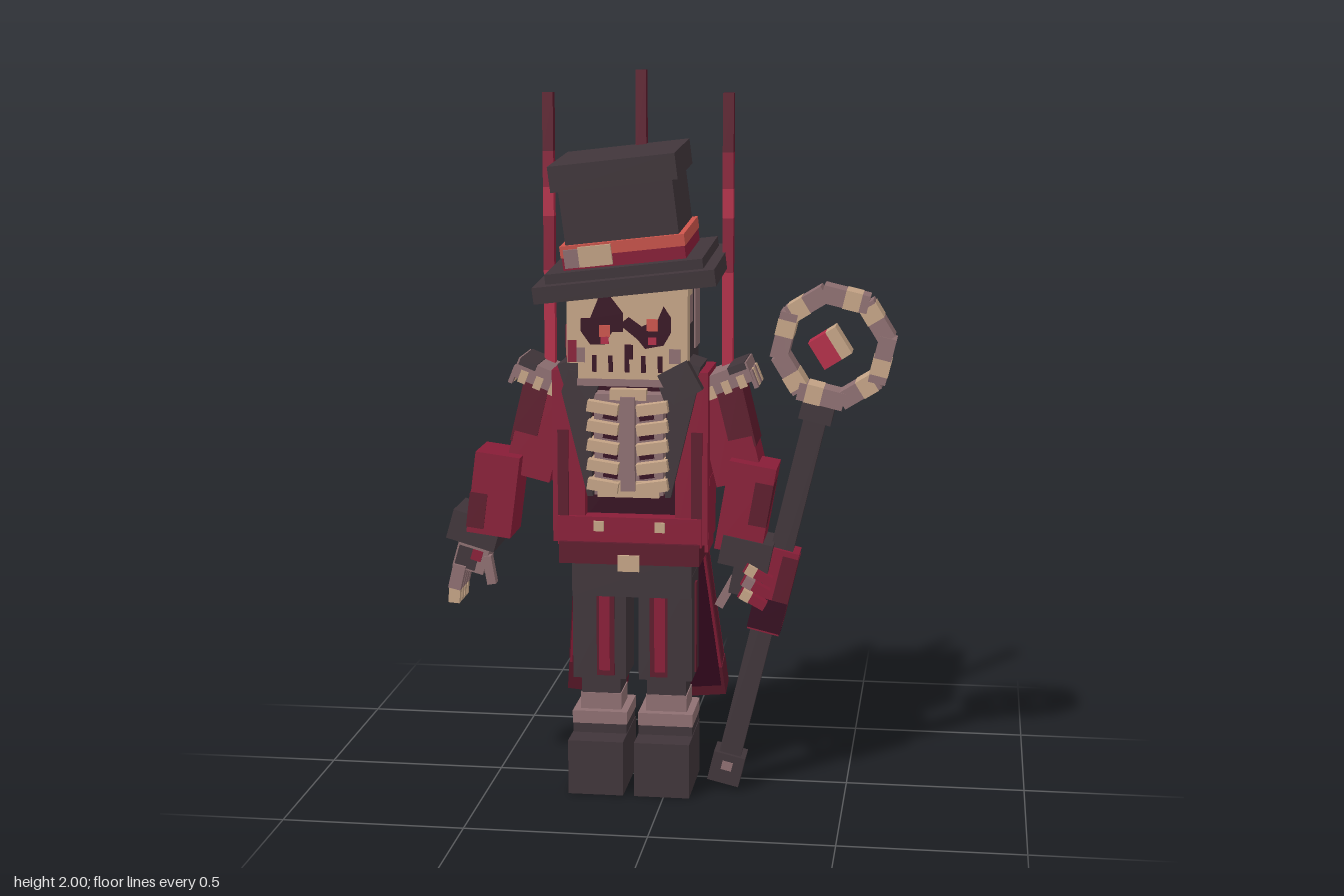
import * as THREE from 'three';

const mat = (name, color) => Object.assign(new THREE.MeshStandardMaterial({ color }), { name });
const M = {
  dark: mat('charcoal cloth', 0x40353a),
  crimson: mat('crimson cloth', 0x8a1d38),
  maroon: mat('maroon cloth', 0x5e1a2c),
  deep: mat('deep shadow red', 0x36091f),
  bone: mat('bone', 0xc6a587),
  mauve: mat('old bone', 0x8f7072),
  coral: mat('coral ribbon', 0xcc544b),
  bright: mat('bright red', 0xb42c48),
};
const CX = -0.098; // body centre line

function group(parent, name, x = 0, y = 0, z = 0, rx = 0, rz = 0) {
  const g = new THREE.Group();
  g.name = name;
  g.position.set(x, y, z);
  g.rotation.set(rx, 0, rz);
  parent.add(g);
  return g;
}
// size [w,h,d], centre [x,y,z]
function box(parent, name, m, size, pos, rz = 0) {
  const b = new THREE.Mesh(new THREE.BoxGeometry(...size), m);
  b.name = name;
  b.position.set(...pos);
  b.rotation.z = rz;
  parent.add(b);
}
// flat polygon with a small depth, facing +z
function plate(parent, name, m, pts, z, depth) {
  const s = new THREE.Shape(pts.map(p => new THREE.Vector2(...p)));
  const p = new THREE.Mesh(new THREE.ExtrudeGeometry(s, { depth, bevelEnabled: false }), m);
  p.name = name;
  p.position.z = z;
  parent.add(p);
}

function legs(root) {
  for (const s of [-1, 1]) {
    const g = group(root, s < 0 ? 'rightLeg' : 'leftLeg', CX + s * 0.093);
    box(g, 'boot', M.dark, [0.155, 0.155, 0.245], [0, 0.0775, 0.067]);
    box(g, 'bootAnkle', M.dark, [0.152, 0.03, 0.165], [0, 0.168, 0.028]);
    box(g, 'bootCuff', M.mauve, [0.155, 0.036, 0.168], [0, 0.2, 0.028]);
    box(g, 'shin', M.dark, [0.11, 0.14, 0.11], [0, 0.26, 0.03]);
    box(g, 'shinWrap', M.mauve, [0.116, 0.05, 0.116], [0, 0.24, 0.03]);
    box(g, 'trouserLeg', M.dark, [0.15, 0.3, 0.15], [0, 0.465, 0.035]);
    box(g, 'trouserStripe', M.maroon, [0.05, 0.26, 0.006], [-s * 0.018, 0.455, 0.112]);
    box(g, 'trouserStripeCentre', M.crimson, [0.03, 0.22, 0.008], [-s * 0.015, 0.45, 0.113]);
    box(g, 'sideStripe', M.maroon, [0.006, 0.26, 0.03], [s * 0.077, 0.455, 0.035]);
  }
  box(root, 'hips', M.dark, [0.335, 0.12, 0.17], [CX, 0.615, 0.035]);
}

function coat(root) {
  const g = group(root, 'coat', CX);
  box(g, 'coatBack', M.crimson, [0.41, 0.52, 0.13], [0, 0.93, -0.025]);
  box(g, 'chestHollow', M.deep, [0.3, 0.4, 0.07], [0, 0.95, 0.07]);
  box(g, 'coatHem', M.crimson, [0.4, 0.08, 0.25], [0, 0.75, 0.033]);
  box(g, 'belt', M.maroon, [0.39, 0.06, 0.262], [0, 0.69, 0.04]);
  box(g, 'buckle', M.bone, [0.06, 0.045, 0.012], [0, 0.665, 0.174]);
  for (const s of [-1, 1]) {
    box(g, 'frontPanel', M.crimson, [0.09, 0.48, 0.2], [s * 0.17, 0.955, 0.045]);
    box(g, 'panelFlap', M.crimson, [0.06, 0.17, 0.15], [s * 0.186, 0.81, 0.04]);
    box(g, 'panelTrim', M.maroon, [0.03, 0.26, 0.006], [s * 0.185, 0.9, 0.148]);
    box(g, 'hemButton', M.bone, [0.028, 0.028, 0.01], [s * 0.085, 0.765, 0.16]);
    // dark lapels narrowing to the waist
    const pts = [[0.07, 1.19], [0.165, 1.2], [0.185, 1.14], [0.115, 0.85], [0.1, 0.85], [0.105, 1.1]];
    plate(g, 'lapel', M.dark, pts.map(([x, y]) => [s * x, y]), 0.135, 0.03);
    box(g, 'collar', M.dark, [0.07, 0.09, 0.16], [s * 0.15, 1.18, 0.08], s * -0.3);
    // splayed coat tails, hinged at the waist
    const t = group(g, 'coatTail', s * 0.095, 0.73, -0.067, 0.26, s * 0.1);
    box(t, 'tail', M.crimson, [0.165, 0.56, 0.078], [0, -0.27, 0]);
    box(t, 'tailLining', s < 0 ? M.maroon : M.deep, [0.15, 0.5, 0.008], [0, -0.27, 0.04]);
    box(t, 'tailTip', M.maroon, [0.169, 0.09, 0.082], [0, -0.507, 0]);
    box(t, 'tailEdge', M.maroon, [0.07, 0.42, 0.006], [-0.04, -0.25, -0.04]);
    box(t, 'tailSide', M.maroon, [0.006, 0.4, 0.05], [s * 0.083, -0.25, 0.012]);
    box(t, 'tailButton', M.mauve, [0.025, 0.025, 0.006], [-s * 0.05, -0.44, -0.042]);
  }
  // worn blotches and stitched studs on the back
  for (const [x, y, w, h] of [[-0.15, 1.13, 0.1, 0.04], [0.12, 1.07, 0.06, 0.06], [-0.03, 0.96, 0.06, 0.04],
    [0.14, 0.87, 0.1, 0.05], [-0.17, 0.84, 0.06, 0.1], [0.02, 0.79, 0.16, 0.03]])
    box(g, 'backBlotch', M.maroon, [w, h, 0.006], [x, y, -0.091]);
  for (let i = 0; i < 5; i++)
    box(g, 'backStud', M.mauve, [0.026, 0.026, 0.01], [-0.16 + i * 0.08, 0.735, -0.095]);
}

function ribs(root) {
  const g = group(root, 'ribcage', CX);
  box(g, 'sternum', M.mauve, [0.19, 0.28, 0.06], [0, 0.995, 0.135]);
  box(g, 'breastbone', M.mauve, [0.04, 0.26, 0.03], [0, 1.0, 0.172]);
  box(g, 'breastboneTop', M.bone, [0.1, 0.03, 0.03], [0, 1.135, 0.16]);
  box(g, 'lowerRibs', M.bone, [0.17, 0.045, 0.05], [0, 0.873, 0.15]);
  for (let i = 0; i < 5; i++)
    for (const s of [-1, 1]) {
      box(g, 'rib', M.bone, [0.085, 0.03, 0.07], [s * 0.068, 1.1 - i * 0.054, 0.162], s * 0.15);
      box(g, 'ribGap', M.deep, [0.04, 0.014, 0.006], [s * 0.05, 1.072 - i * 0.054, 0.167], s * 0.15);
    }
}

function head(root) {
  const g = group(root, 'head', CX);
  box(g, 'hair', M.dark, [0.315, 0.3, 0.24], [0, 1.315, 0.0]);
  box(g, 'skull', M.bone, [0.33, 0.235, 0.05], [0, 1.34, 0.163]);
  box(g, 'temples', M.mauve, [0.326, 0.13, 0.08], [0, 1.39, 0.1]);
  box(g, 'browSide', M.bone, [0.33, 0.05, 0.06], [0, 1.43, 0.11]);
  box(g, 'jaw', M.bone, [0.27, 0.1, 0.07], [0, 1.21, 0.15]);
  box(g, 'jawShade', M.mauve, [0.274, 0.02, 0.074], [0, 1.17, 0.15]);
  const z = 0.188;
  // sunken eyes joined over the nose
  plate(g, 'rightEye', M.deep, [[-0.125, 1.31], [-0.125, 1.345], [-0.1, 1.345], [-0.075, 1.405], [-0.045, 1.405],
    [-0.01, 1.36], [-0.01, 1.31], [-0.04, 1.31], [-0.06, 1.275], [-0.1, 1.275]], z, 0.006);
  plate(g, 'leftEye', M.deep, [[0.12, 1.31], [0.12, 1.35], [0.1, 1.38], [0.085, 1.345], [0.04, 1.325], [0.005, 1.35],
    [-0.02, 1.33], [0.03, 1.29], [0.05, 1.265], [0.1, 1.275]], z, 0.0055);
  box(g, 'rightPupil', M.coral, [0.03, 0.032, 0.006], [-0.06, 1.312, 0.195]);
  box(g, 'leftPupil', M.coral, [0.03, 0.032, 0.006], [0.07, 1.33, 0.195]);
  for (const x of [-0.06, 0.07]) box(g, 'pupilGlow', M.bright, [0.022, 0.02, 0.006], [x, 1.287, 0.195]);
  box(g, 'nose', M.deep, [0.022, 0.04, 0.006], [0.005, 1.255, 0.19]);
  for (const s of [-1, 1]) box(g, 'cheekShade', M.mauve, [0.03, 0.04, 0.006], [s * 0.13, 1.245, 0.187]);
  for (let i = 0; i < 5; i++)
    box(g, 'toothGap', M.deep, [0.012, 0.045, 0.006], [-0.09 + i * 0.045, 1.222, 0.187]);
  box(g, 'cheekWound', M.crimson, [0.006, 0.09, 0.06], [-0.166, 1.28, 0.15]);
  box(g, 'cheekPatch', M.crimson, [0.025, 0.06, 0.006], [-0.15, 1.255, 0.189]);
  box(g, 'bowTie', M.dark, [0.09, 0.09, 0.04], [0.145, 1.175, 0.18], 0.5);
  // bald patches at the back and sides
  box(g, 'backPatch', M.mauve, [0.13, 0.16, 0.006], [0.01, 1.36, -0.121]);
  box(g, 'backPatchLow', M.mauve, [0.08, 0.06, 0.006], [-0.03, 1.27, -0.121]);
  box(g, 'leftPatch', M.mauve, [0.006, 0.2, 0.1], [0.159, 1.34, -0.06]);
  for (const [x, y] of [[0.1, 1.38], [0.11, 1.29], [0.07, 1.25], [-0.08, 1.41]])
    box(g, 'woundSpot', M.crimson, [0.028, 0.045, 0.006], [x, y, -0.122]);
}

function hat(root) {
  const g = group(root, 'topHat', CX, 1.452, 0.033, 0.065, 0.117);
  box(g, 'brim', M.dark, [0.495, 0.045, 0.435], [0, 0, 0]);
  box(g, 'brimStep', M.dark, [0.43, 0.033, 0.37], [0, 0.033, 0]);
  box(g, 'crown', M.dark, [0.31, 0.27, 0.285], [0, 0.17, 0]);
  box(g, 'bandLower', M.crimson, [0.335, 0.04, 0.305], [0, 0.065, 0]);
  box(g, 'bandUpper', M.coral, [0.34, 0.032, 0.31], [0, 0.1, 0]);
  box(g, 'bandClasp', M.bone, [0.09, 0.055, 0.012], [-0.075, 0.083, 0.158]);
  box(g, 'claspCorner', M.mauve, [0.04, 0.05, 0.012], [-0.14, 0.081, 0.157]);
  box(g, 'crownCap', M.dark, [0.345, 0.07, 0.32], [0, 0.298, 0]);
}

function shoulder(root, s) {
  const g = group(root, s < 0 ? 'rightShoulder' : 'leftShoulder', CX);
  const arm = group(g, 'upperArm', s * 0.262, 1.03, 0.02, 0, s * 0.24);
  box(arm, 'sleeve', M.crimson, [0.13, 0.3, 0.15], [0, 0, 0]);
  box(arm, 'sleeveShade', M.maroon, [0.006, 0.2, 0.154], [s * 0.066, 0.04, 0]);
  box(arm, 'sleevePatch', M.maroon, [0.07, 0.16, 0.156], [s * 0.032, 0.05, 0]);
  // tilted pad with a short bone fringe
  const e = group(g, 'epaulette', s * 0.25, 1.165, 0.02, 0, s * 0.38);
  box(e, 'pad', M.mauve, [0.16, 0.055, 0.165], [0, 0, 0]);
  box(e, 'padTrim', M.dark, [0.05, 0.02, 0.168], [s * 0.05, 0.02, 0]);
  for (let i = 0; i < 4; i++)
    box(e, 'fringe', i % 2 ? M.mauve : M.bone, [0.012, 0.05, 0.028], [s * 0.08, -0.025, -0.06 + i * 0.04]);
  for (let i = 0; i < 3; i++)
    for (const z of [-0.083, 0.083])
      box(e, 'sideFringe', M.bone, [0.022, 0.035, 0.008], [s * (0.05 - i * 0.045), -0.018, z]);
}

function arms(root) {
  shoulder(root, -1);
  shoulder(root, 1);
  // right arm hangs out to the side
  const r = group(root, 'rightForearm', -0.482, 0.84, 0.07, 0, -0.13);
  box(r, 'forearm', M.crimson, [0.125, 0.23, 0.15], [0, 0, 0]);
  box(r, 'forearmShade', M.maroon, [0.05, 0.1, 0.154], [-0.04, -0.05, 0]);
  const rh = group(root, 'rightHand', -0.54, 0.735, 0.06, 0, -0.28);
  box(rh, 'cuff', M.dark, [0.14, 0.085, 0.155], [0, 0, 0]);
  box(rh, 'palm', M.mauve, [0.09, 0.08, 0.1], [0.01, -0.08, 0.01]);
  box(rh, 'palmGlove', M.dark, [0.06, 0.06, 0.104], [0, -0.085, 0.01]);
  box(rh, 'palmJewel', M.crimson, [0.03, 0.03, 0.108], [0.025, -0.07, 0.01]);
  for (let i = 0; i < 4; i++) {
    box(rh, 'finger', M.mauve, [0.036, 0.07, 0.026], [-0.012, -0.145, -0.04 + i * 0.033], 0.05);
    box(rh, 'fingerTip', M.bone, [0.032, 0.05, 0.022], [-0.006, -0.195, -0.04 + i * 0.033], 0.2);
  }
  box(rh, 'thumb', M.mauve, [0.025, 0.08, 0.03], [0.07, -0.1, 0.05], 0.45);
  // left arm holds the staff
  const l = group(root, 'leftForearm', 0.22, 0.82, 0.07, 0, -0.17);
  box(l, 'forearm', M.crimson, [0.13, 0.25, 0.15], [0, 0, 0]);
  box(l, 'forearmShade', M.maroon, [0.05, 0.12, 0.154], [0.04, 0.02, 0]);
  const lh = group(root, 'leftHand', 0.215, 0.66, 0.08, 0, -0.2);
  box(lh, 'cuff', M.dark, [0.14, 0.08, 0.155], [0, 0.035, -0.005]);
  box(lh, 'palm', M.dark, [0.09, 0.09, 0.09], [0.02, -0.04, 0.01]);
  for (let i = 0; i < 3; i++) {
    box(lh, 'finger', M.crimson, [0.08, 0.026, 0.03], [0.045, -0.01 - i * 0.036, 0.07], -0.3);
    box(lh, 'knuckle', i % 2 ? M.mauve : M.bone, [0.028, 0.028, 0.034], [0.025, -0.004 - i * 0.036, 0.07], -0.3);
  }
  box(lh, 'thumb', M.mauve, [0.025, 0.09, 0.03], [-0.03, -0.09, 0.03], -0.3);
}

function staff(root) {
  // local y runs along the pole, origin at the foot
  const g = group(root, 'staff', 0.167, 0.062, 0.063, 0, -0.233);
  box(g, 'pole', M.dark, [0.062, 1.06, 0.062], [0, 0.53, 0]);
  box(g, 'foot', M.dark, [0.09, 0.085, 0.09], [0, 0, 0]);
  box(g, 'footInlay', M.mauve, [0.03, 0.025, 0.096], [0, 0.01, 0]);
  box(g, 'neck', M.dark, [0.09, 0.06, 0.09], [0, 1.055, 0]);
  box(g, 'gripCloth', M.crimson, [0.09, 0.24, 0.092], [0.005, 0.535, 0]);
  box(g, 'gripClothSide', M.maroon, [0.045, 0.2, 0.094], [0.03, 0.54, 0]);
  box(g, 'gripClothLow', M.deep, [0.094, 0.09, 0.096], [0.005, 0.465, 0]);
  const ring = group(g, 'ring', 0, 1.235, 0);
  for (let i = 0; i < 8; i++) {
    const seg = group(ring, 'ringSegment', 0, 0, 0, 0, i * Math.PI / 4);
    const d = i % 2 ? 0.088 : 0.095;
    box(seg, 'segment', M.mauve, [i % 2 ? 0.115 : 0.128, 0.048, d], [0, 0.137, 0]);
    box(seg, 'segmentWear', M.bone, [0.045, 0.051, d + 0.004], [i % 2 ? -0.025 : 0.02, 0.137, 0]);
  }
  const gem = group(ring, 'gem', -0.005, 0, 0, 0, 0.8);
  box(gem, 'gemRed', M.bright, [0.055, 0.085, 0.08], [-0.02, 0, 0]);
  box(gem, 'gemBone', M.bone, [0.032, 0.085, 0.08], [0.0235, 0, 0]);
}

function strings(root) {
  for (const [x, top, z] of [[-0.348, 1.94, -0.032], [0.152, 1.94, -0.032], [-0.098, 2, -0.096]]) {
    const g = group(root, 'puppetString', x, 0, z);
    const bands = [[1.17, 1.45, M.bright], [1.45, 1.6, M.crimson], [1.6, 1.68, M.bright], [1.68, 1.78, M.crimson], [1.78, top, M.maroon]];
    for (const [a, b, m] of bands) box(g, 'stringBand', m, [0.03, b - a, 0.03], [0, (a + b) / 2, 0]);
  }
}

export function createModel() {
  const root = new THREE.Group();
  root.name = 'skeletonRingmaster';
  for (const build of [legs, coat, ribs, head, hat, arms, staff, strings]) build(root);
  return root;
}
